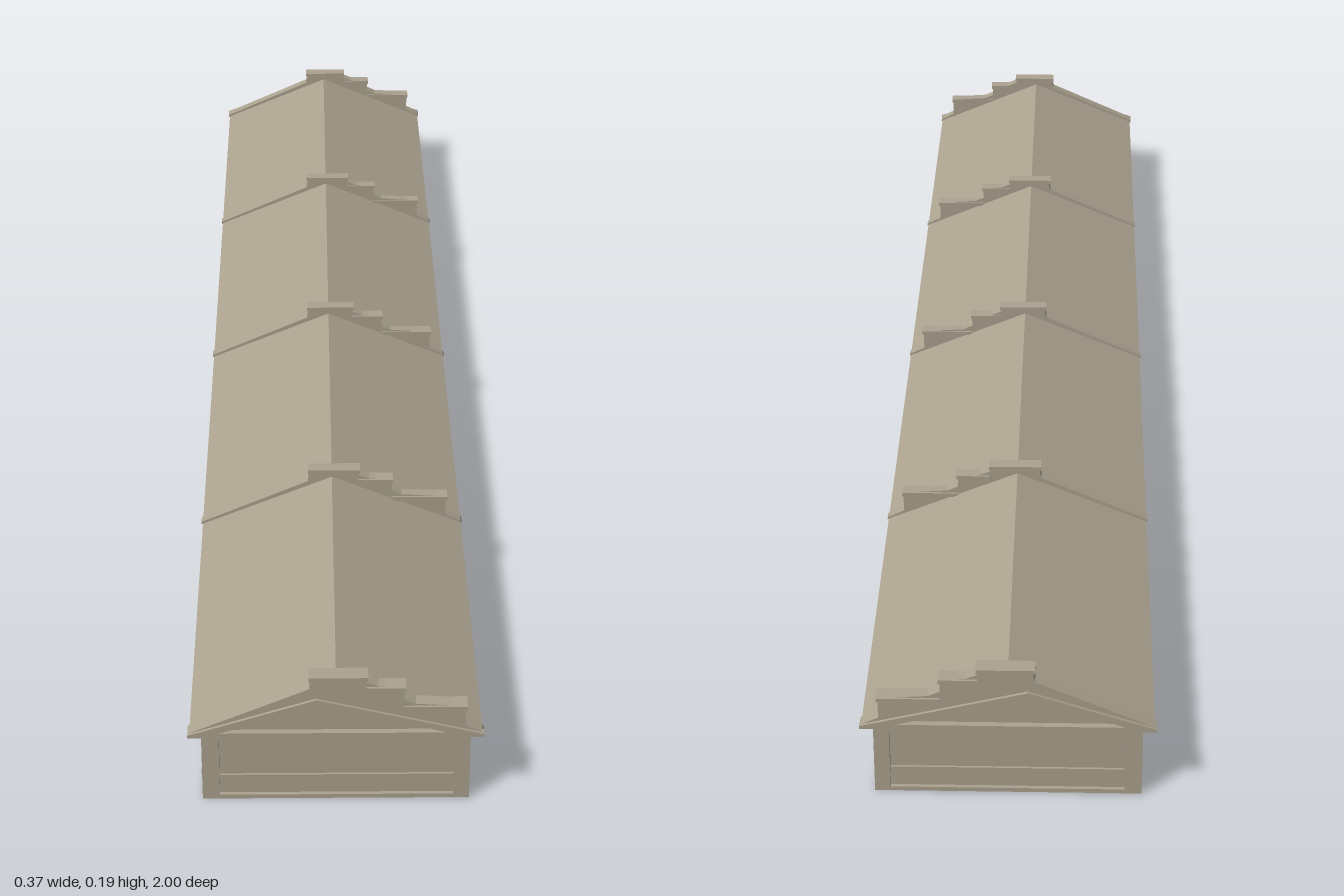
import * as THREE from 'three';

const stone = new THREE.MeshStandardMaterial({ color: 0xaca390 });
stone.name = 'warm grey stone';
const glass = new THREE.MeshStandardMaterial({ color: 0x4c4c49 });
glass.name = 'dark glass';
const yellow = new THREE.MeshStandardMaterial({ color: 0xc4c272 });
yellow.name = 'pale yellow trim';

export function createModel() {
  const model = new THREE.Group();
  model.name = 'longBuilding';

  const add = (name, geometry, material, parent = model) => {
    const mesh = new THREE.Mesh(geometry, material);
    mesh.name = name;
    parent.add(mesh);
    return mesh;
  };
  const box = (name, w, h, d, x, y, z, material = stone, parent = model) => {
    const mesh = add(name, new THREE.BoxGeometry(w, h, d), material, parent);
    mesh.position.set(x, y, z);
    return mesh;
  };
  // Extrudes an x-y outline from z0 to z1
  const prism = (name, points, z0, z1, holes = [], parent = model) => {
    const vectors = (list) => list.map(([x, y]) => new THREE.Vector2(x, y));
    const shape = new THREE.Shape(vectors(points));
    holes.forEach((hole) => shape.holes.push(new THREE.Path(vectors(hole))));
    const geometry = new THREE.ExtrudeGeometry(shape, { depth: z1 - z0, bevelEnabled: false });
    geometry.translate(0, 0, z0);
    return add(name, geometry, stone, parent);
  };

  // Solid core and plinth
  box('core', 0.31, 0.095, 1.97, 0, 0.0495, 0);
  box('plinth', 0.335, 0.034, 1.98, 0, 0.017, 0);

  // Gabled roof with thin eaves
  prism('roof', [[-0.183, 0.097], [0.183, 0.097], [0.185, 0.101], [0, 0.179], [-0.185, 0.101]], -0.98, 0.98);

  // Side walls: glazing, posts and yellow mullions
  const posts = [0, 0.135, 0.27, 0.405];
  for (const side of [-1, 1]) {
    const wall = new THREE.Group();
    wall.name = side > 0 ? 'leftWall' : 'rightWall';
    model.add(wall);
    box('glazing', 0.006, 0.06, 1.96, side * 0.156, 0.065, 0, glass, wall);
    box('sill', 0.022, 0.006, 1.97, side * 0.16, 0.035, 0, stone, wall);
    box('lintel', 0.02, 0.008, 1.97, side * 0.16, 0.093, 0, stone, wall);
    box('soffit', 0.02, 0.003, 1.96, side * 0.174, 0.0955, 0, glass, wall);
    for (let section = 0; section < 4; section++) {
      for (const offset of posts) {
        const z = 0.995 - section * 0.4975 - offset;
        if (z > 0.97) continue;
        box('post', 0.016, 0.064, 0.014, side * 0.161, 0.064, z, stone, wall);
        for (const s of [-1, 1]) {
          box('mullion', 0.012, 0.056, 0.007, side * 0.1605, 0.063, z + s * 0.0105, yellow, wall);
        }
        box('buttress', 0.012, 0.036, 0.024, side * 0.164, 0.018, z, stone, wall);
      }
    }
  }

  // Stepped parapets standing on the roof, with a slim rib on the plain slope
  const parapet = [
    [-0.187, 0.1], [0.187, 0.1], [0.185, 0.104], [0.163, 0.115], [0.163, 0.145],
    [0.1, 0.149], [0.085, 0.156], [0.085, 0.173], [0.053, 0.176], [0.038, 0.182],
    [0.038, 0.19], [-0.03, 0.19], [-0.034, 0.172], [-0.187, 0.104],
  ];
  const copings = [[-0.034, 0.04, 0.188], [0.038, 0.087, 0.172], [0.085, 0.165, 0.143]];
  const addCopings = (z, depth) => {
    for (const [x0, x1, y] of copings) box('coping', x1 - x0, 0.006, depth, (x0 + x1) / 2, y, z);
  };
  for (const z of [-0.4975, 0, 0.4975]) {
    prism('parapet', parapet, z - 0.007, z + 0.007);
    addCopings(z, 0.02);
    box('floorJoint', 0.33, 0.004, 0.008, 0, 0.001, z);
  }

  // Framed end walls with a sunk panel and sunk gable
  for (const end of [-1, 1]) {
    const gable = new THREE.Group();
    gable.name = end > 0 ? 'frontEnd' : 'backEnd';
    model.add(gable);
    const slab = (name, points, a, b, holes) =>
      prism(name, points, Math.min(end * a, end * b), Math.max(end * a, end * b), holes, gable);
    slab('endFrame', [[-0.17, 0], [0.17, 0], [0.17, 0.1], [-0.17, 0.1]], 0.975, 0.995,
      [[[-0.148, 0.006], [-0.148, 0.09], [0.15, 0.09], [0.15, 0.006]]]);
    box('endPanel', 0.31, 0.09, 0.01, 0, 0.047, end * 0.982, stone, gable);
    slab('gableFrame', parapet, 0.978, 0.996,
      [[[-0.15, 0.104], [-0.025, 0.153], [0.15, 0.104]]]);
    slab('gablePanel', [[-0.17, 0.1], [0.17, 0.1], [0, 0.17]], 0.976, 0.988);
    // Raking cornice along the gable
    slab('rakingCornice', [[-0.187, 0.1], [-0.165, 0.1], [-0.025, 0.153], [0.165, 0.1],
      [0.187, 0.1], [0.187, 0.104], [-0.025, 0.158], [-0.187, 0.104]], 0.99, 1.0);
    addCopings(end * 0.988, 0.022);
  }

  return model;
}
